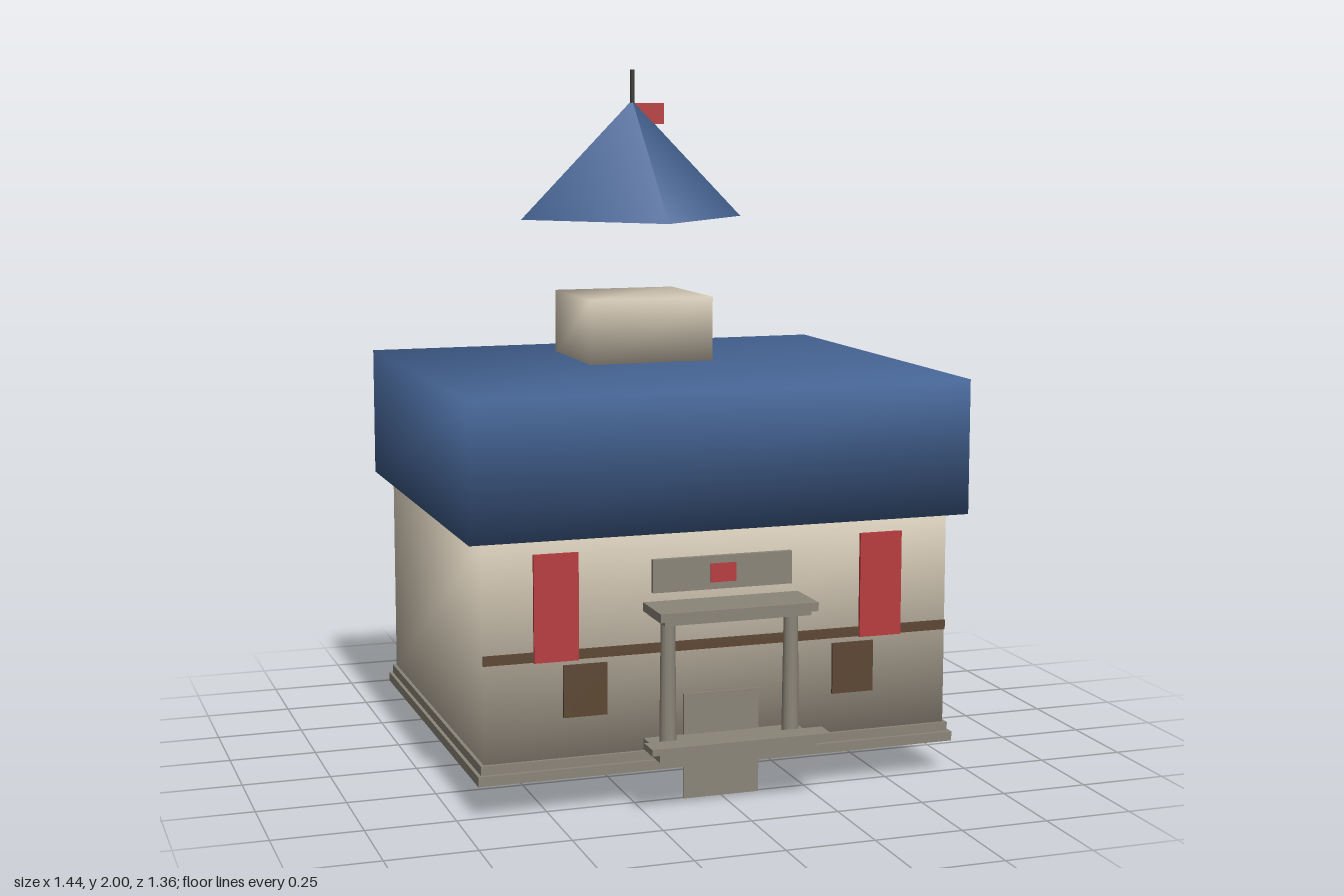
import * as THREE from 'three';
import { mergeVertices } from 'three/addons/utils/BufferGeometryUtils.js';

const material = (name, color) => {
  const m = new THREE.MeshStandardMaterial({ color });
  m.name = name;
  return m;
};

// Box with shared corners, so that its shading rolls softly over the edges
function softBox(w, h, d) {
  const g = new THREE.BoxGeometry(w, h, d);
  g.deleteAttribute('normal');
  g.deleteAttribute('uv');
  const welded = mergeVertices(g);
  welded.computeVertexNormals();
  return welded;
}

export function createModel() {
  const model = new THREE.Group();
  model.name = 'hall';
  const plaster = material('plaster', 0xd2c7b4);
  const tile = material('blue roof', 0x456494);
  const stone = material('stone', 0x8b8578);
  const timber = material('timber', 0x5c4632);
  const cloth = material('red cloth', 0xb83c3e);
  const iron = material('dark iron', 0x3b3733);

  const add = (name, geometry, mat, x, y, z) => {
    const mesh = new THREE.Mesh(geometry, mat);
    mesh.name = name;
    mesh.position.set(x, y, z);
    model.add(mesh);
    return mesh;
  };
  // Box given by its limits on each axis
  const block = (name, mat, [x0, x1], [y0, y1], [z0, z1], soft = false) => {
    const size = [x1 - x0, y1 - y0, z1 - z0];
    const g = soft ? softBox(...size) : new THREE.BoxGeometry(...size);
    return add(name, g, mat, (x0 + x1) / 2, (y0 + y1) / 2, (z0 + z1) / 2);
  };

  // Main body
  block('lowerPlinth', stone, [-0.695, 0.695], [0.095, 0.122], [-0.643, 0.525]);
  block('upperPlinth', stone, [-0.685, 0.685], [0.122, 0.148], [-0.633, 0.515]);
  block('walls', plaster, [-0.675, 0.675], [0.148, 0.76], [-0.623, 0.505], true);
  block('roof', tile, [-0.72, 0.72], [0.758, 1.14], [-0.682, 0.555], true);
  block('turret', plaster, [-0.19, 0.19], [1.13, 1.33], [-0.477, -0.1], true);

  // Floating spire with its pole and flag
  const spireZ = -0.29;
  add('spire', new THREE.ConeGeometry(0.347, 0.352, 4), tile, 0, 1.734, spireZ);
  add('flagPole', new THREE.CylinderGeometry(0.007, 0.007, 0.28, 8), iron, 0, 1.86, spireZ);
  block('flag', cloth, [0.005, 0.1], [1.838, 1.9], [spireZ - 0.003, spireZ + 0.003]);

  // Front wall dressing
  block('timberBand', timber, [-0.675, 0.675], [0.42, 0.447], [0.503, 0.511]);
  block('door', stone, [-0.11, 0.11], [0, 0.297], [0.502, 0.51]);
  block('signBoard', stone, [-0.202, 0.202], [0.588, 0.68], [0.503, 0.521]);
  block('signEmblem', cloth, [-0.037, 0.037], [0.608, 0.66], [0.52, 0.526]);
  for (const side of [-1, 1]) {
    const span = (a, b) => (side > 0 ? [a, b] : [-b, -a]);
    block('banner', cloth, span(0.41, 0.535), [0.418, 0.714], [0.506, 0.515]);
    block('window', timber, span(0.33, 0.453), [0.26, 0.405], [0.503, 0.512]);

    // Porch columns
    add('porchColumn', new THREE.CylinderGeometry(0.02, 0.024, 0.35, 12), stone, side * 0.178, 0.355, 0.575);
  }

  // Porch floor, step and canopy
  block('porchFloor', stone, [-0.225, 0.225], [0.152, 0.182], [0.505, 0.65]);
  block('porchStep', stone, [-0.257, 0.257], [0.182, 0.2], [0.612, 0.68]);
  block('canopyBeam', stone, [-0.21, 0.21], [0.525, 0.54], [0.505, 0.645]);
  block('canopySlab', stone, [-0.226, 0.226], [0.538, 0.562], [0.505, 0.658]);

  return model;
}
